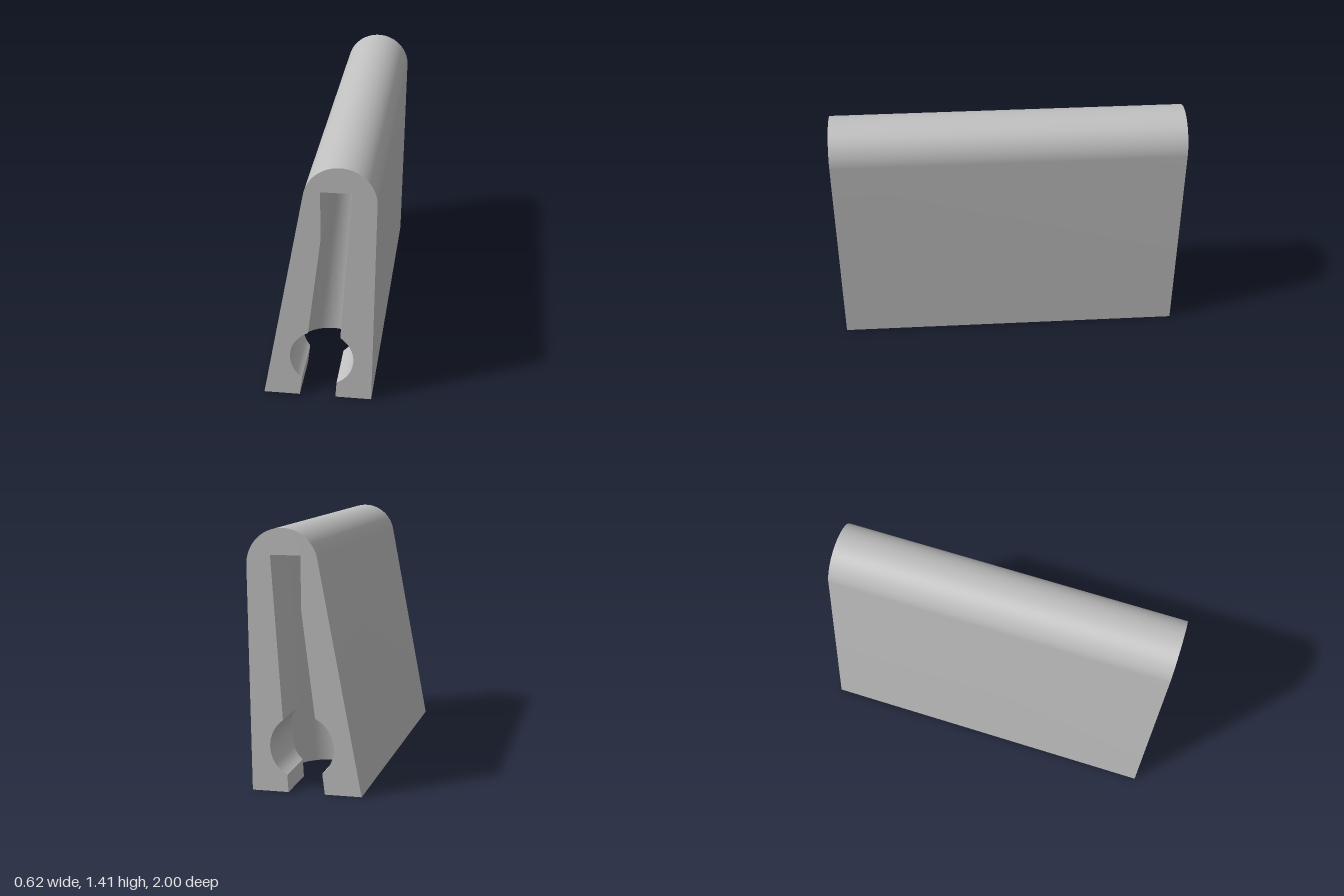
import * as THREE from 'three';
import { toCreasedNormals, mergeGeometries } from 'three/addons/utils/BufferGeometryUtils.js';

const CEILING = 1.27;                        // height of the hollows
const HOLE_Z = 0.52;                         // centre of each upright hole
const BORE = { x: 0.015, y: 0.25, r: 0.175 };

// Leaning, tapering sizes at height y
const axisX = (y) => -0.01 + 0.0984 * y;
const slotHalf = (y) => 0.1 - 0.0276 * y;
const holeRadius = (y) => 0.2 - 0.0552 * y;
const boreHalf = (y) => Math.sqrt(Math.max(0, BORE.r ** 2 - (y - BORE.y) ** 2));
const leftX = (y) => Math.min(axisX(y) - slotHalf(y), BORE.x - boreHalf(y));
const rightX = (y) => Math.max(axisX(y) + slotHalf(y), BORE.x + boreHalf(y));

// Heights sampled finely through the round bore
const heights = [0, 0.05];
for (let i = 0; i <= 70; i++) heights.push(0.08 + i * 0.005);
for (let i = 1; i <= 6; i++) heights.push(0.43 + (i * (CEILING - 0.43)) / 6);

// Skin between successive rows of points
function loft(rows) {
  const p = [];
  for (let i = 0; i < rows.length - 1; i++) {
    for (let j = 0; j < rows[i].length - 1; j++) {
      const a = rows[i][j], b = rows[i][j + 1], c = rows[i + 1][j + 1], d = rows[i + 1][j];
      for (const v of [a, b, c, a, c, d]) p.push(v.x, v.y, v.z);
    }
  }
  const g = new THREE.BufferGeometry();
  g.setAttribute('position', new THREE.Float32BufferAttribute(p, 3));
  return toCreasedNormals(g, 0.5);
}

// Flat face from 2D points
function face(points) {
  const g = new THREE.ShapeGeometry(new THREE.Shape(points)).toNonIndexed();
  g.deleteAttribute('uv');
  return g;
}

// Wall of the round hole at height y, from the slot's left edge round to its right edge
function holeArc(y) {
  const cx = axisX(y), r = holeRadius(y);
  const start = Math.asin((leftX(y) - cx) / r);
  const end = Math.asin((rightX(y) - cx) / r) - 2 * Math.PI;
  const pts = [];
  for (let i = 0; i <= 48; i++) {
    const a = start + ((end - start) * i) / 48;
    pts.push(new THREE.Vector3(cx + r * Math.sin(a), y, HOLE_Z + r * Math.cos(a)));
  }
  return pts;
}

export function createModel() {
  const group = new THREE.Group();
  const grey = new THREE.MeshStandardMaterial({ color: 0xc0c0c0 });
  grey.name = 'grey';
  const add = (name, geometry) => {
    const mesh = new THREE.Mesh(geometry, grey);
    mesh.name = name;
    group.add(mesh);
  };

  // Outer outline: straight leaning sides under a rounded crest
  const outline = [new THREE.Vector2(0.29, 0)];
  const from = -0.015, to = Math.PI - 0.19;
  for (let i = 0; i <= 48; i++) {
    const a = from + ((to - from) * i) / 48;
    outline.push(new THREE.Vector2(0.116 + 0.193 * Math.cos(a), 1.218 + 0.193 * Math.sin(a)));
  }
  outline.push(new THREE.Vector2(-0.31, 0));
  add('outerShell', loft([-1, 1].map((z) => outline.map((p) => new THREE.Vector3(p.x, p.y, z)))));

  // End faces with the keyhole slot cut out
  const keyhole = [
    ...heights.map((y) => new THREE.Vector2(leftX(y), y)),
    ...heights.map((y) => new THREE.Vector2(rightX(y), y)).reverse(),
  ];
  const endPoints = [...outline, ...keyhole];
  add('frontFace', face(endPoints).translate(0, 0, 1));
  add('backFace', face(endPoints.map((p) => new THREE.Vector2(-p.x, p.y))).rotateY(Math.PI).translate(0, 0, -1));

  // Slot, bore and upright hole at each end
  const arcs = heights.map(holeArc);
  const leftWall = heights.map((y, i) => [new THREE.Vector3(leftX(y), y, 1), arcs[i][0]]);
  const rightWall = heights.map((y, i) => [arcs[i][48], new THREE.Vector3(rightX(y), y, 1)]);
  const flat = (row, s) => row.map((p) => new THREE.Vector2(p.x, s * p.z));
  const mouth = (i) => [leftWall[i][0], ...arcs[i], rightWall[i][1]];
  for (const s of [1, -1]) {
    const mirror = (rows) => (s > 0 ? rows
      : rows.map((row) => row.map((p) => new THREE.Vector3(p.x, p.y, -p.z)).reverse()));
    const end = s > 0 ? 'front' : 'back';
    add(end + 'SlotWalls', mergeGeometries([loft(mirror(leftWall)), loft(mirror(rightWall))]));
    add(end + 'HoleWall', loft(mirror(arcs)));
    add(end + 'Ceiling', face(flat(mouth(heights.length - 1), s)).rotateX(Math.PI / 2).translate(0, CEILING, 0));
  }

  // Underside with both openings
  add('underside', face([
    ...flat(mouth(0), 1),
    new THREE.Vector2(0.29, 1), new THREE.Vector2(0.29, -1),
    ...flat(mouth(0), -1).reverse(),
    new THREE.Vector2(-0.31, -1), new THREE.Vector2(-0.31, 1),
  ]).rotateX(Math.PI / 2));

  return group;
}
